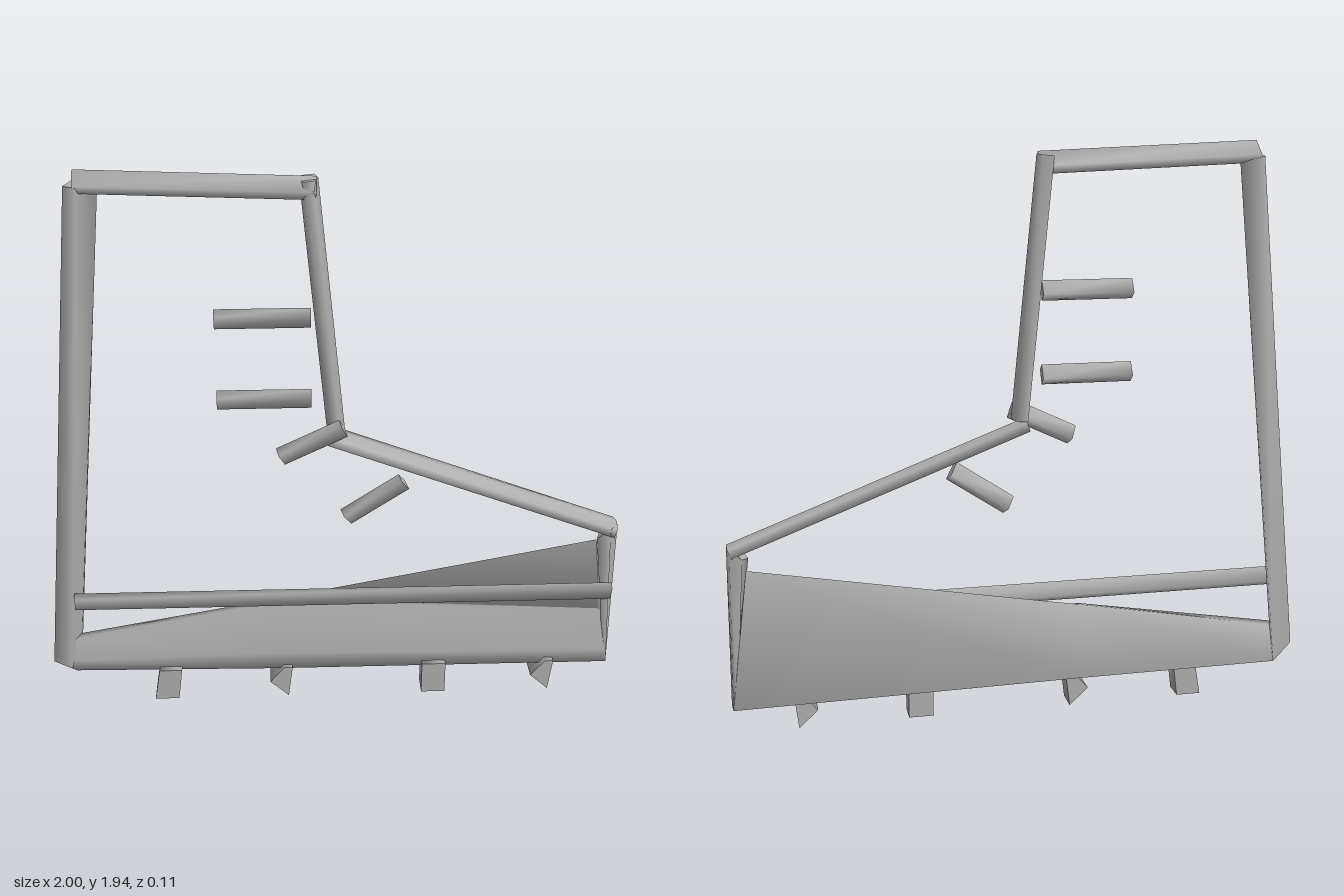
import * as THREE from 'three';

const metal = new THREE.MeshStandardMaterial({ color: 0xb0b0b0, side: THREE.DoubleSide });
metal.name = 'plain grey';

// Skin through matching rings of [x, y, z] points, closed by a cap at each end
function loft(name, rings) {
  const n = rings[0].length, pos = [], idx = [];
  rings.forEach(r => r.forEach(p => pos.push(...p)));
  for (let k = 0; k < rings.length - 1; k++)
    for (let i = 0; i < n; i++) {
      const a = k * n + i, b = k * n + (i + 1) % n;
      idx.push(a, b, a + n, b, b + n, a + n);
    }
  // separate cap vertices keep the ends crisp
  [rings[0], rings[rings.length - 1]].forEach((r, end) => {
    const s = pos.length / 3;
    r.forEach(p => pos.push(...p));
    for (let i = 1; i < n - 1; i++)
      idx.push(...(end ? [s, s + i, s + i + 1] : [s, s + i + 1, s + i]));
  });
  const geo = new THREE.BufferGeometry();
  geo.setAttribute('position', new THREE.Float32BufferAttribute(pos, 3));
  geo.setIndex(idx);
  geo.computeVertexNormals();
  const mesh = new THREE.Mesh(geo, metal);
  mesh.name = name;
  return mesh;
}

// Straight bar in the xy plane; section points are [sideways offset, z]
function bar(name, a, b, section) {
  const dx = b[0] - a[0], dy = b[1] - a[1], l = Math.hypot(dx, dy);
  const ring = p => section.map(([u, z]) => [p[0] - u * dy / l, p[1] + u * dx / l, z]);
  return loft(name, [ring(a), ring(b)]);
}

export function createModel() {
  const g = new THREE.Group();
  g.name = 'bootOutline';

  // Rear post, twisting so its inner face turns towards the front
  g.add(loft('rearPost', [
    [[-1, 0.15, 0.02], [-0.935, 0.13, 0.04], [-0.9, 0.24, -0.02], [-0.91, 0.12, -0.045]],
    [[-0.83, 1.89, 0.015], [-0.79, 1.89, 0.035], [-0.73, 1.87, -0.03], [-0.81, 1.89, -0.045]],
  ]));

  // Collar with a ridged top
  g.add(bar('collar', [-0.8, 1.905], [-0.055, 1.875],
    [[0.036, 0.01], [-0.01, 0.037], [-0.036, 0.025], [-0.036, -0.03], [-0.01, -0.045]]));

  // Front of the shaft and the sloping instep
  g.add(bar('frontShaft', [-0.078, 1.9], [0.008, 1.03],
    [[0.03, 0.0], [0.012, 0.036], [-0.02, 0.03], [-0.03, 0.0], [-0.02, -0.045], [0.02, -0.045]]));
  g.add(bar('instep', [-0.015, 1.01], [0.98, 0.63],
    [[0.028, -0.01], [0.012, 0.03], [-0.015, 0.036], [-0.028, 0.0], [-0.015, -0.045], [0.02, -0.055]]));

  // Toe post
  g.add(loft('toePost', [
    [[0.99, 0.65, 0], [0.96, 0.65, 0.035], [0.92, 0.6, 0.01], [0.94, 0.61, -0.04], [0.98, 0.65, -0.045]],
    [[0.995, 0.09, 0], [0.985, 0.1, 0.04], [0.97, 0.17, 0.02], [0.975, 0.1, -0.04], [0.99, 0.09, -0.05]],
  ]));

  // Sole: low at the heel, fanning up to a tall back panel at the toe
  g.add(loft('sole', [
    [[-1, 0.15, 0.02], [-0.92, 0.24, 0.015], [-0.9, 0.24, -0.02], [-0.91, 0.11, -0.045], [-0.92, 0.115, 0.03]],
    [[-0.2, 0.17, 0.035], [-0.2, 0.365, 0], [-0.2, 0.367, -0.02], [-0.2, 0.105, -0.045], [-0.2, 0.105, 0.035]],
    [[0.985, 0.15, 0.035], [0.95, 0.31, 0.01], [0.93, 0.57, -0.035], [0.99, 0.09, -0.05], [0.985, 0.095, 0.03]],
  ]));

  // Long strip across the front above the sole
  g.add(bar('sideStrip', [-0.905, 0.407], [0.98, 0.4],
    [[0.034, 0.035], [0.02, 0.055], [-0.034, 0.035], [-0.015, 0.015]]));

  // Lace bars
  const laceSection = [[0.034, 0.035], [0.014, 0.06], [-0.034, 0.035], [-0.01, 0.005]];
  [
    [[-0.385, 1.455], [-0.075, 1.455]],
    [[-0.385, 1.172], [-0.075, 1.172]],
    [[-0.18, 0.96], [0.03, 1.06]],
    [[0.04, 0.725], [0.235, 0.855]],
  ].forEach(([a, b]) => g.add(bar('lace', a, b, laceSection)));

  // Studs under the sole: straight ones alternate with pointed wedges
  const stud = (outline, zFront, zBack) => g.add(loft('stud',
    [outline.map(([x, y]) => [x, y, zBack]), outline.map(([x, y]) => [x, y, zFront])]));
  stud([[-0.645, 0], [-0.56, 0], [-0.545, 0.12], [-0.625, 0.12]], 0.055, -0.02);
  stud([[0.315, 0], [0.4, 0], [0.4, 0.12], [0.315, 0.12]], 0.055, -0.02);
  for (const x of [-0.23, 0.71])
    stud([[x, 0.06], [x + 0.065, 0], [x + 0.08, 0.12], [x + 0.05, 0.12]], 0.055, -0.03);

  return g;
}
